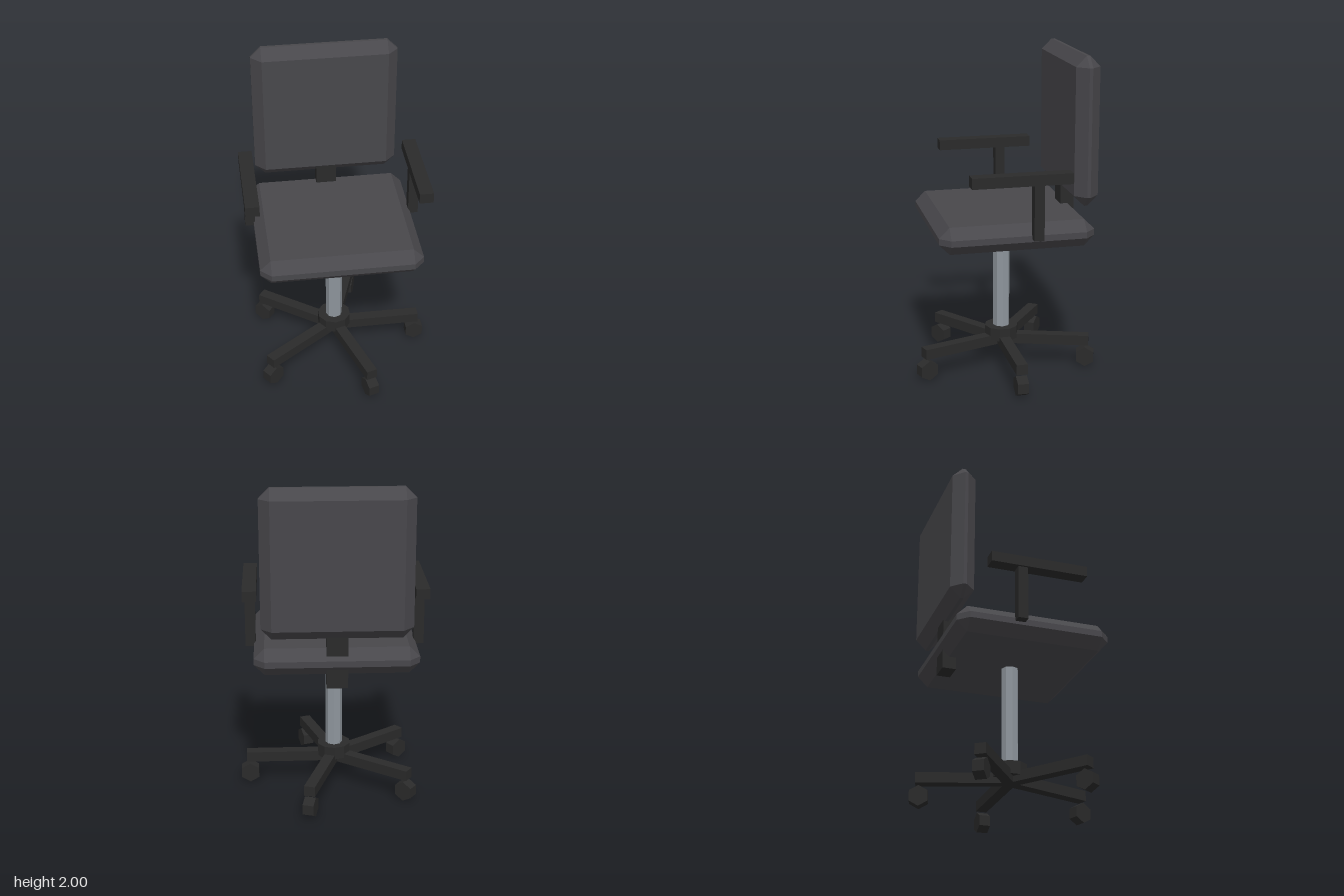
import * as THREE from 'three';
import { ConvexGeometry } from 'three/addons/geometries/ConvexGeometry.js';

const CX = -0.019; // chair axis: one leg of the base reaches further to +x

// Box with every edge cut at 45 degrees and triangular corners
function chamferBox(w, h, d, b) {
  const half = [w / 2, h / 2, d / 2];
  const points = [];
  for (const sx of [-1, 1]) for (const sy of [-1, 1]) for (const sz of [-1, 1]) {
    for (let axis = 0; axis < 3; axis++) {
      const [x, y, z] = half.map((v, i) => (i === axis ? v : v - b));
      points.push(new THREE.Vector3(sx * x, sy * y, sz * z));
    }
  }
  return new ConvexGeometry(points);
}

export function createModel() {
  const fabric = new THREE.MeshStandardMaterial({ color: 0x48474b });
  const plastic = new THREE.MeshStandardMaterial({ color: 0x2a2a2a });
  const steel = new THREE.MeshStandardMaterial({ color: 0x8f969d });
  fabric.name = 'charcoalFabric';
  plastic.name = 'blackPlastic';
  steel.name = 'steel';
  for (const m of [fabric, plastic, steel]) m.flatShading = true;

  const model = new THREE.Group();
  model.name = 'officeChair';
  const chair = new THREE.Group();
  chair.name = 'chair';
  chair.position.x = CX;
  model.add(chair);

  function add(parent, name, geometry, material, x, y, z) {
    const mesh = new THREE.Mesh(geometry, material);
    mesh.name = name;
    mesh.position.set(x, y, z);
    parent.add(mesh);
    return mesh;
  }

  // Cushions and the bracket joining them
  add(chair, 'seat', chamferBox(0.976, 0.164, 0.934, 0.063), fabric, 0, 0.96, 0);
  add(chair, 'backrest', chamferBox(0.888, 0.89, 0.146, 0.063), fabric, 0, 1.555, -0.425);
  add(chair, 'backSupport', new THREE.BoxGeometry(0.126, 0.362, 0.084), plastic, 0, 0.983, -0.402);

  // Armrests
  for (const side of [-1, 1]) {
    const arm = new THREE.Group();
    arm.name = side > 0 ? 'leftArmrest' : 'rightArmrest';
    add(arm, 'armPad', new THREE.BoxGeometry(0.084, 0.064, 0.594), plastic, side * 0.51, 1.325, -0.002);
    add(arm, 'armPost', new THREE.BoxGeometry(0.062, 0.34, 0.06), plastic, side * 0.509, 1.13, -0.102);
    chair.add(arm);
  }

  // Column and hub
  add(chair, 'column', new THREE.CylinderGeometry(0.052, 0.052, 0.66, 8), steel, 0, 0.56, 0);
  add(chair, 'hub', new THREE.CylinderGeometry(0.105, 0.105, 0.08, 10), plastic, 0, 0.218, 0);

  // Five-legged base with casters
  const wheelGeometry = new THREE.CylinderGeometry(0.063, 0.063, 0.068, 6).rotateX(Math.PI / 2);
  const legGeometry = new THREE.BoxGeometry(0.552, 0.064, 0.068);
  for (let i = 0; i < 5; i++) {
    const spoke = new THREE.Group();
    spoke.name = 'baseSpoke' + (i + 1);
    spoke.rotation.y = (i * Math.PI * 2) / 5;
    add(spoke, 'leg', legGeometry, plastic, 0.276, 0.173, 0);
    add(spoke, 'wheel', wheelGeometry, plastic, 0.531, 0.064, 0);
    chair.add(spoke);
  }

  return model;
}
